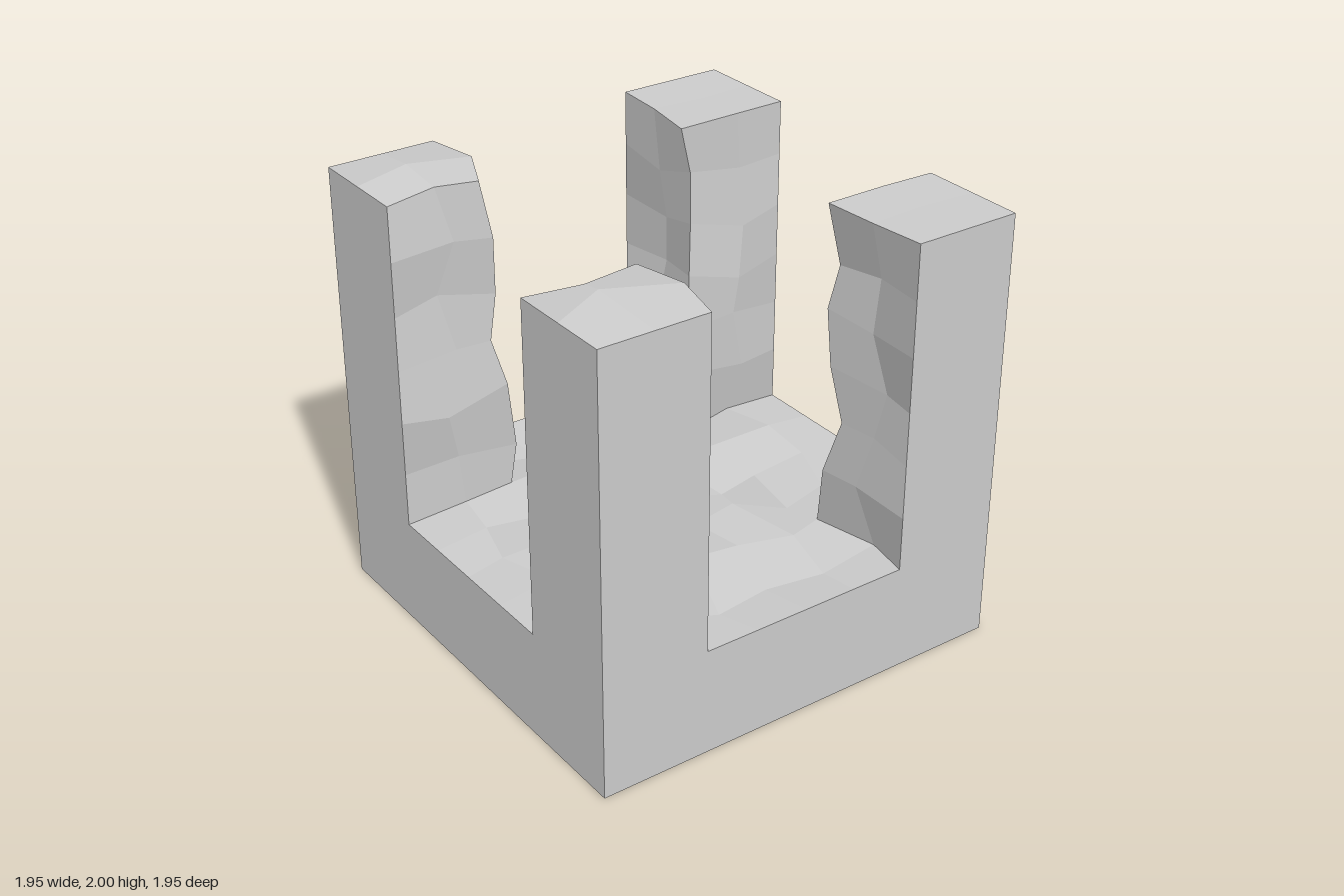
import * as THREE from 'three';

const N = 8, STEP = 0.2435, HALF = N * STEP / 2;
const LOW = 2, HIGH = 6; // grid lines where the inner faces lie

// Each pillar: peak of its top, top inner corner, x and z of its top inner edges,
// and how far the inner corner bulges on each row going up
const PILLARS = {
  '-1,-1': { peak: [-0.73, 1.94, -0.73], corner: [-0.475, 1.95, -0.43], edgeX: -0.48, edgeZ: -0.47,
    bulge: [0.01, 0, 0.02, 0.01, -0.01, 0] },
  '1,-1': { peak: [0.7, 1.94, -0.73], corner: [0.50, 1.96, -0.43], edgeX: 0.48, edgeZ: -0.46,
    bulge: [0.02, 0.01, -0.04, 0, 0.015, -0.015] },
  '-1,1': { peak: [-0.71, 2.0, 0.76], corner: [-0.475, 1.96, 0.565], edgeX: -0.545, edgeZ: 0.445,
    bulge: [0.015, 0.035, 0.015, -0.03, -0.01, -0.01] },
  '1,1': { peak: [0.68, 2.0, 0.77], corner: [0.50, 1.95, 0.48], edgeX: 0.53, edgeZ: 0.43,
    bulge: [0, 0.02, 0, 0.01, 0.02, -0.01] },
};

// Repeatable noise in -1..1 for a grid point and channel
function noise(i, j, k, c) {
  const s = Math.sin(i * 12.9898 + j * 78.233 + k * 37.719 + c * 53.17) * 43758.5453;
  return 2 * (s - Math.floor(s)) - 1;
}

const inPost = (n) => n < LOW || n >= HIGH;
const solid = (i, j, k) => [i, j, k].every((n) => n >= 0 && n < N)
  && (j < LOW || (inPost(i) && inPost(k)));

// Grid point to position: outer faces stay flat, inner faces become rough
function place([i, j, k]) {
  const p = [i * STEP - HALF, j * STEP, k * STEP - HALF];
  if (i === 0 || i === N || k === 0 || k === N || j < LOW) return p;
  const sx = Math.sign(p[0]), sz = Math.sign(p[2]);
  const wallX = i === LOW || i === HIGH, wallZ = k === LOW || k === HIGH;
  const pillar = PILLARS[`${sx},${sz}`];
  if (j === N) {
    if (wallX && wallZ) return pillar.corner;
    if (wallX) return [pillar.edgeX, 1.95, p[2]];
    if (wallZ) return [p[0], 1.95, pillar.edgeZ];
    return pillar.peak;
  }
  const rough = (c, size) => size * noise(i, j, k, c);
  p[1] += rough(1, 0.04);
  if (wallX && wallZ) {
    const bulge = pillar.bulge[j - LOW];
    return [p[0] - sx * bulge, p[1], p[2] - sz * bulge];
  }
  p[0] += rough(0, 0.06);
  p[2] += rough(2, 0.06);
  return p;
}

// Skin of all solid cells in a part, one flat-shaded facet per cell face
function skin(name, material, belongs) {
  const pos = [], normals = [];
  const facet = (q) => {
    const [a, b, c, d] = q.map((p) => new THREE.Vector3(...p));
    const normal = c.sub(a).cross(d.sub(b)).normalize().toArray();
    for (const n of [0, 1, 2, 0, 2, 3]) {
      pos.push(...q[n]);
      normals.push(...normal);
    }
  };
  for (let i = 0; i < N; i++) for (let j = 0; j < N; j++) for (let k = 0; k < N; k++) {
    if (!solid(i, j, k) || !belongs(i, j, k)) continue;
    for (let a = 0; a < 3; a++) for (const s of [0, 1]) {
      const next = [i, j, k];
      next[a] += s ? 1 : -1;
      if (solid(...next)) continue;
      const corner = (u, v) => {
        const g = [i, j, k];
        g[a] += s;
        g[(a + 1) % 3] += u;
        g[(a + 2) % 3] += v;
        return place(g);
      };
      const q = [corner(0, 0), corner(1, 0), corner(1, 1), corner(0, 1)];
      facet(s ? q : q.reverse());
    }
  }
  const geo = new THREE.BufferGeometry();
  geo.setAttribute('position', new THREE.Float32BufferAttribute(pos, 3));
  geo.setAttribute('normal', new THREE.Float32BufferAttribute(normals, 3));
  const mesh = new THREE.Mesh(geo, material);
  mesh.name = name;
  return mesh;
}

export function createModel() {
  const group = new THREE.Group();
  group.name = 'roughBlockWithPillars';
  const stone = new THREE.MeshStandardMaterial({ color: 0xcccccc });

  // Slab with a rough floor
  group.add(skin('base', stone, (i, j) => j < LOW));

  // Four corner pillars, rough on the inside and on top
  for (const left of [true, false]) for (const front of [true, false]) {
    const name = (front ? 'front' : 'back') + (left ? 'Left' : 'Right') + 'Pillar';
    group.add(skin(name, stone, (i, j, k) =>
      j >= LOW && (i >= N / 2) === left && (k >= N / 2) === front));
  }
  return group;
}
